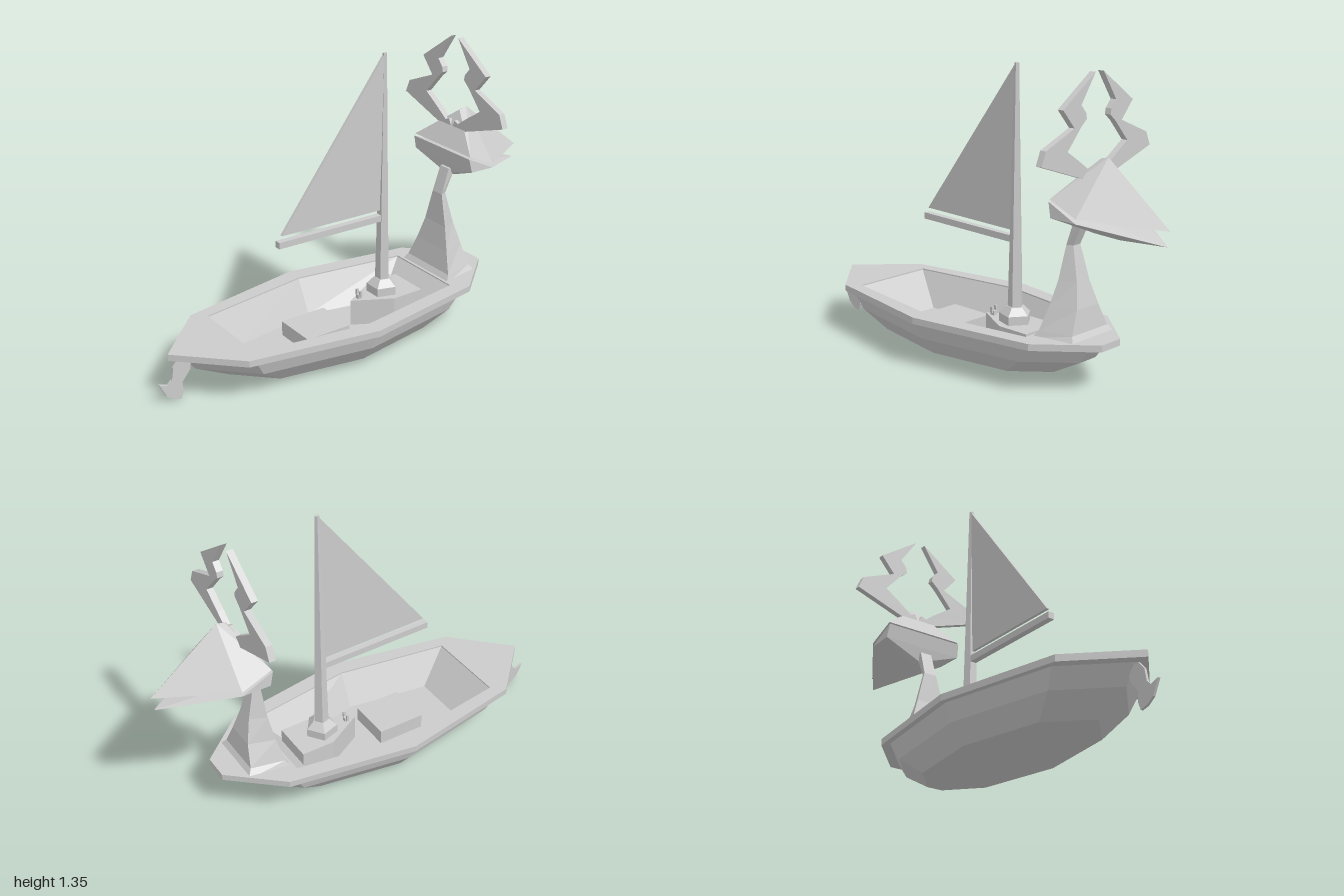
import * as THREE from 'three';
import { ConvexGeometry } from 'three/addons/geometries/ConvexGeometry.js';

const material = new THREE.MeshStandardMaterial({ color: 0xcccccc, flatShading: true, side: THREE.DoubleSide });

// Outline of the deck as [x, z], bow first, going round the +x side
const half = [[0.25, 0.7], [0.36, 0.1], [0.26, -0.5], [0.06, -0.73]];
const mirrorX = (pts) => pts.map(([x, z]) => [-x, z]).reverse();
const deckOutline = [[0, 0.95], ...half, ...mirrorX(half)];
const wellHalf = [[0.2, 0.64], [0.28, 0.1], [0.2, -0.43]];
const wellOutline = [...wellHalf, ...mirrorX(wellHalf)];
const floorHalf = [[0.14, 0.5], [0.2, 0.1], [0.12, -0.28]];
const floorOutline = [...floorHalf, ...mirrorX(floorHalf)];

const shapeOf = (pts) => new THREE.Shape(pts.map(([a, b]) => new THREE.Vector2(a, b)));
const ring = (pts, y, s = 1) => pts.map(([x, z]) => [x * s, y, 0.1 + (z - 0.1) * s]);

// Skin joining rings of equal point count, with fan caps where asked
function loft(rings, capStart, capEnd) {
  const n = rings[0].length, index = [];
  for (let r = 0; r < rings.length - 1; r++) {
    for (let i = 0; i < n; i++) {
      const a = r * n + i, b = r * n + (i + 1) % n;
      index.push(a, b, b + n, a, b + n, a + n);
    }
  }
  const last = (rings.length - 1) * n;
  for (let i = 1; i < n - 1; i++) {
    if (capStart) index.push(0, i + 1, i);
    if (capEnd) index.push(last, last + i, last + i + 1);
  }
  const g = new THREE.BufferGeometry();
  g.setAttribute('position', new THREE.Float32BufferAttribute(rings.flat(2), 3));
  g.setIndex(index);
  const flat = g.toNonIndexed();
  flat.computeVertexNormals();
  return flat;
}

// Horizontal slab with its top at y
function slab(shape, top, depth) {
  return new THREE.ExtrudeGeometry(shape, { depth, bevelEnabled: false })
    .rotateX(Math.PI / 2).translate(0, top, 0);
}

// Thin upright plate drawn as [z, y], centred on x = 0
function sidePlate(pts, depth) {
  return new THREE.ExtrudeGeometry(shapeOf(pts.map(([z, y]) => [-z, y])), { depth, bevelEnabled: false })
    .translate(0, 0, -depth / 2).rotateY(Math.PI / 2);
}

const convex = (pts) => new ConvexGeometry(pts.map((p) => new THREE.Vector3(...p)));

export function createModel() {
  const model = new THREE.Group();
  model.name = 'sailboat';
  const add = (name, geometry, parent = model) => {
    const mesh = new THREE.Mesh(geometry, material);
    mesh.name = name;
    parent.add(mesh);
    return mesh;
  };

  // Hull: shrinking copies of the deck outline down to a shallow keel point
  add('hull', loft([
    ring(deckOutline, 0.01, 0), ring(deckOutline, 0.04, 0.66),
    ring(deckOutline, 0.125, 0.85), ring(deckOutline, 0.21, 0.93),
  ]));
  const rim = shapeOf(deckOutline);
  rim.holes.push(new THREE.Path(wellOutline.map(([x, z]) => new THREE.Vector2(x, z))));
  add('deckRim', slab(rim, 0.236, 0.03));
  add('cockpitWell', loft([ring(wellOutline, 0.23), ring(floorOutline, 0.075)], false, true));

  // Seat and mast platform inside the well
  add('seat', new THREE.BoxGeometry(0.21, 0.08, 0.23).translate(0, 0.105, 0.195));
  add('mastPlatform', slab(
    shapeOf([[0, 0], [0.1, -0.18], [0.1, -0.34], [-0.1, -0.34], [-0.1, -0.18]]), 0.2, 0.13));

  // Small forked cleat at the front of the platform
  const cleat = new THREE.Group();
  cleat.name = 'cleat';
  model.add(cleat);
  add('cleatPost', new THREE.BoxGeometry(0.02, 0.03, 0.02).translate(0, 0.205, -0.05), cleat);
  for (const s of [-1, 1]) {
    add('cleatProng', new THREE.BoxGeometry(0.01, 0.03, 0.012).translate(s * 0.014, 0.227, -0.05), cleat);
  }

  // Mast, collar, boom and sail
  const mastZ = -0.185;
  add('mastBase', new THREE.CylinderGeometry(0.04, 0.075, 0.035, 5).rotateY(Math.PI).translate(0, 0.255, mastZ));
  add('mastCollar', new THREE.CylinderGeometry(0.075, 0.075, 0.045, 5).rotateY(Math.PI).translate(0, 0.217, mastZ));
  add('mast', new THREE.CylinderGeometry(0.011, 0.036, 1.135, 5).rotateY(Math.PI).translate(0, 0.788, mastZ));
  const boom = add('boom', new THREE.BoxGeometry(0.03, 0.03, 0.56));
  boom.position.set(0, 0.585, 0.11);
  boom.rotation.x = -0.02;
  add('sail', sidePlate([[-0.18, 1.35], [0.37, 0.63], [-0.16, 0.618]], 0.014));

  // Curled fin under the bow
  add('bowFin', sidePlate([
    [0.84, 0.2], [0.9, 0.2], [0.93, 0.165], [0.94, 0.11], [0.96, 0.09], [1, 0.105],
    [0.968, 0.04], [0.935, 0.015], [0.9, 0.005], [0.887, 0.04], [0.89, 0.085], [0.85, 0.135],
  ], 0.012));

  // Neck: sections of [y, front z, back z, front half width, back half width]
  const neck = [
    [0.225, -0.435, -0.64, 0.17, 0.14], [0.26, -0.46, -0.615, 0.15, 0.115],
    [0.36, -0.48, -0.6, 0.11, 0.07], [0.47, -0.497, -0.572, 0.073, 0.04],
    [0.62, -0.505, -0.535, 0.033, 0.022], [0.74, -0.545, -0.59, 0.03, 0.025],
  ];
  add('neck', loft(neck.map(([y, f, b, w, v]) => [[-w, y, f], [w, y, f], [v, y, b], [-v, y, b]]), true, true));

  // Head facing aft with a slightly open beak
  const head = new THREE.Group();
  head.name = 'head';
  head.position.x = -0.017;
  model.add(head);
  const pair = (x, y, z) => [[x, y, z], [-x, y, z]];
  add('upperBeak', convex([
    ...pair(0.2, 0.845, -0.54), ...pair(0.2, 0.785, -0.68),
    [0, 0.93, -0.595], [0, 1.0, -0.64], [0, 1.01, -0.68], [0, 0.755, -1],
  ]), head);
  add('lowerBeak', convex([
    ...pair(0.2, 0.835, -0.535), ...pair(0.205, 0.77, -0.55), ...pair(0.2, 0.765, -0.68),
    [0, 0.7, -0.57], [0, 0.68, -0.62], [0, 0.675, -0.75], [0, 0.69, -0.99],
  ]), head);

  // Flat zigzag antlers, mirrored
  const antler = [
    [0.025, 1.355], [0.22, 1.22], [0.15, 1.14], [0.32, 1.07], [0.345, 1.01], [0.06, 0.915], [0, 0.92],
    [0.02, 0.96], [0.045, 0.95], [0.1, 0.99], [0.19, 1.05], [0.11, 1.14], [0.075, 1.17],
    [0.08, 1.195], [0.11, 1.23],
  ];
  for (const s of [1, -1]) {
    const shape = shapeOf(antler.map(([x, y]) => [s * x, y]));
    add(s > 0 ? 'leftAntler' : 'rightAntler',
      new THREE.ExtrudeGeometry(shape, { depth: 0.03, bevelEnabled: false }).translate(0, 0, -0.625), head);
  }
  return model;
}
